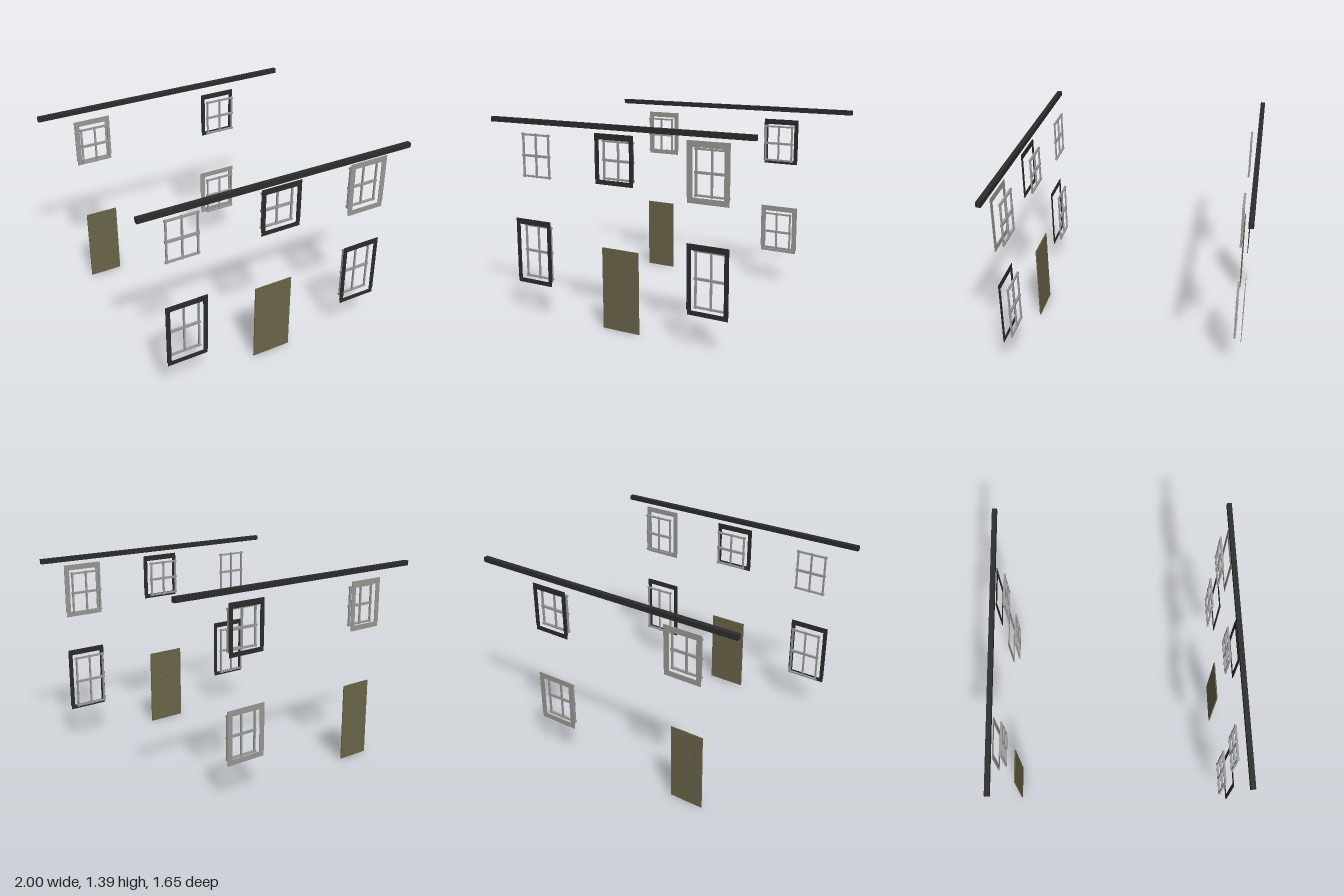
import * as THREE from 'three';

const mat = (name, color) => {
  const m = new THREE.MeshStandardMaterial({ color });
  m.name = name;
  return m;
};

export function createModel() {
  const dark = mat('dark timber', 0x2c2c2d);
  const stone = mat('grey stone', 0x9a9893);
  const lead = mat('window bar grey', 0x9b9b9b);
  const wood = mat('door wood', 0x6a6448);
  const model = new THREE.Group();
  model.name = 'houseTrim';

  // Box given by its limits in x and y, its centre in z and its depth
  const slab = (parent, name, material, x0, x1, y0, y1, z, depth) => {
    const mesh = new THREE.Mesh(new THREE.BoxGeometry(x1 - x0, y1 - y0, depth), material);
    mesh.position.set((x0 + x1) / 2, (y0 + y1) / 2, z);
    mesh.name = name;
    parent.add(mesh);
  };
  const group = (name) => {
    const g = new THREE.Group();
    g.name = name;
    model.add(g);
    return g;
  };

  // Thin surround: lintel, two jambs and a sill
  const surround = (name, material, x0, x1, y0, y1, z) => {
    const g = group(name + 'Surround');
    const side = material === dark ? 0.031 : 0.038;
    const sill = material === dark ? 0.03 : 0.036;
    const top = y1 - 0.039;
    slab(g, 'lintel', material, x0, x1, top, y1, z, 0.004);
    slab(g, 'sill', material, x0 + 0.004, x1 - 0.004, y0, y0 + sill, z, 0.004);
    slab(g, 'leftJamb', material, x1 - side, x1, y0 + sill, top, z, 0.004);
    slab(g, 'rightJamb', material, x0, x0 + side, y0 + sill, top, z, 0.004);
  };

  // Lattice of three uprights and three cross bars, their ends poking out
  const lattice = (name, x, halfW, ys, z) => {
    const g = group(name + 'Lattice');
    for (const i of [-1, 0, 1]) {
      const c = x + i * halfW;
      slab(g, 'upright', lead, c - 0.006, c + 0.006, ys[0] - 0.01, ys[2] + 0.01, z, 0.011);
      const y = ys[i + 1], h = i === 0 ? 0.008 : 0.006;
      slab(g, 'crossBar', lead, x - halfW - 0.011, x + halfW + 0.011, y - h, y + h, z, 0.015);
    }
  };

  // Plank door with small steps between the boards
  const door = (name, x0, x1, height, z, planks) => {
    const g = group(name);
    const w = (x1 - x0) / planks;
    const steps = [0.008, 0.008, 0.0095, 0.008, 0.0065, 0.008];
    for (let i = 0; i < planks; i++)
      slab(g, 'plank', wood, x0 + i * w, x0 + (i + 1) * w, 0, height, z, steps[i % steps.length]);
  };

  // Eaves beams
  for (const s of [1, -1])
    slab(model, s > 0 ? 'frontBeam' : 'backBeam', dark, -1, 1, 1.357, 1.391, s * 0.811, 0.033);

  // Front windows
  const zf = 0.749, zb = -0.75, sf = 0.798, sb = -0.796;
  const tall = [0.273, 0.459, 0.638], upper = [0.988, 1.13, 1.274];
  lattice('frontUpperRight', -0.678, 0.108, upper, zf);
  lattice('frontUpperMiddle', 0, 0.111, [1.03, 1.15, 1.274], zf);
  lattice('frontUpperLeft', 0.682, 0.11, upper, zf);
  lattice('frontLowerRight', -0.68, 0.108, tall, zf);
  lattice('frontLowerLeft', 0.682, 0.11, tall, zf);
  surround('frontUpperMiddle', dark, -0.148, 0.148, 0.998, 1.328, sf);
  surround('frontUpperLeft', stone, 0.535, 0.829, 0.947, 1.33, sf);
  surround('frontLowerRight', dark, -0.832, -0.534, 0.234, 0.693, sf);
  surround('frontLowerLeft', dark, 0.535, 0.829, 0.234, 0.693, sf);

  // Back windows
  const backUpper = [0.988, 1.117, 1.246];
  lattice('backUpperRight', -0.607, 0.104, backUpper, zb);
  lattice('backUpperLeft', 0.449, 0.108, backUpper, zb);
  lattice('backLowerLeft', 0.449, 0.112, [0.275, 0.422, 0.564], zb);
  surround('backUpperRight', stone, -0.745, -0.47, 0.953, 1.298, sb);
  surround('backUpperLeft', dark, 0.309, 0.588, 0.955, 1.297, sb);
  surround('backLowerLeft', stone, 0.297, 0.598, 0.25, 0.615, sb);

  // Doors
  door('frontDoor', -0.142, 0.142, 0.56, 0.743, 6);
  door('backDoor', -0.728, -0.487, 0.546, -0.743, 5);
  return model;
}
